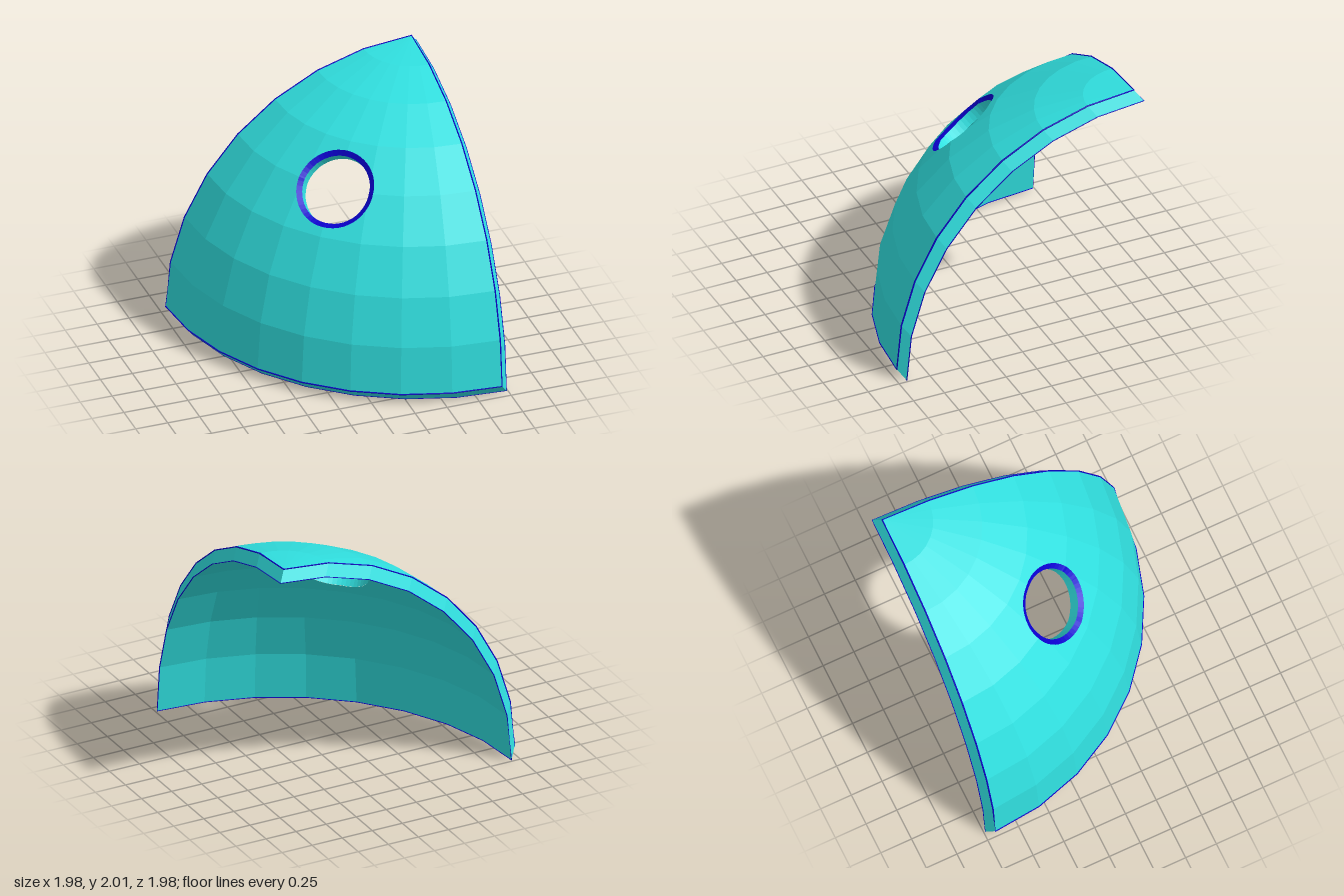
import * as THREE from 'three';

const R = 1.92, THICK = 0.11, SEG = 8;          // shell radius, wall thickness, facets per quarter turn
const HOLE_SIDES = 48, BORE = 0.26, BEVEL = 0.04, BEVEL_DEPTH = 0.02;
const AXIS = new THREE.Vector3(-0.5, Math.SQRT1_2, 0.5);  // middle direction of the shell, also the hole axis
const U = new THREE.Vector3(Math.SQRT1_2, 0, Math.SQRT1_2);
const V = AXIS.clone().cross(U);
const INNER = new THREE.Vector3(0.988, 0, -0.988);
const OUTER = INNER.clone().addScaledVector(AXIS, THICK);

// Facet corner on a sphere octant: i runs around, j runs up to the pole
function corner(centre, i, j) {
  const lon = (i / SEG) * Math.PI / 2, lat = (j / SEG) * Math.PI / 2;
  return new THREE.Vector3(-Math.cos(lat) * Math.cos(lon), Math.sin(lat), Math.cos(lat) * Math.sin(lon))
    .multiplyScalar(R).add(centre);
}

const around = (angle) => U.clone().multiplyScalar(Math.cos(angle)).addScaledVector(V, Math.sin(angle));

// Keep the part of a convex polygon on the positive side of a plane
function clip(poly, plane) {
  const out = [];
  poly.forEach((p, k) => {
    const q = poly[(k + 1) % poly.length];
    const a = plane.distanceToPoint(p), b = plane.distanceToPoint(q);
    if (a >= 0) out.push(p);
    if ((a > 0 && b < 0) || (a < 0 && b > 0)) out.push(p.clone().lerp(q, a / (a - b)));
  });
  return out;
}

// Facetted octant with a round hole; also returns the edges along the hole
function octant(centre, radius) {
  const polys = [], rim = [];
  for (let j = 0; j < SEG; j++) for (let i = 0; i < SEG; i++) {
    const cell = [corner(centre, i, j), corner(centre, i + 1, j), corner(centre, i + 1, j + 1)];
    if (j < SEG - 1) cell.push(corner(centre, i, j + 1));
    if (i < 2 || i > 5 || j < 3 || j > 4) { polys.push(cell); continue; }
    // Cells by the hole are cut into wedges that stop at its edge
    for (let k = 0; k < HOLE_SIDES; k++) {
      const step = 2 * Math.PI / HOLE_SIDES, a = k * step;
      const plane = (n, p) => new THREE.Plane().setFromNormalAndCoplanarPoint(n, p);
      const edge = plane(around(a + step / 2), centre.clone().addScaledVector(around(a), radius));
      let piece = clip(cell, plane(around(a + Math.PI / 2), centre));
      piece = clip(piece, plane(around(a + step - Math.PI / 2), centre));
      piece = clip(piece, edge);
      if (piece.length < 3) continue;
      polys.push(piece);
      piece.forEach((p, m) => {
        const q = piece[(m + 1) % piece.length];
        const onEdge = (x) => Math.abs(edge.distanceToPoint(x)) < 1e-6;
        if (onEdge(p) && onEdge(q) && p.distanceTo(q) > 1e-5) rim.push([p, q]);
      });
    }
  }
  return { polys, rim };
}

// Flat-shaded geometry from convex polygons
function facets(polys) {
  const pts = [];
  for (const p of polys)
    for (let k = 1; k < p.length - 1; k++) pts.push(p[0], p[k], p[k + 1]);
  const g = new THREE.BufferGeometry().setFromPoints(pts);
  g.computeVertexNormals();
  return g;
}

// The three border arcs as one closed loop
function border(centre) {
  const loop = [];
  for (let i = 0; i < SEG; i++) loop.push(corner(centre, i, 0));
  for (let j = 0; j < SEG; j++) loop.push(corner(centre, SEG, j));
  for (let j = SEG; j > 0; j--) loop.push(corner(centre, 0, j));
  return loop;
}

// Thin trim following a border loop
function trim(loop, radius) {
  const path = new THREE.CurvePath();
  loop.forEach((p, k) => path.add(new THREE.LineCurve3(p, loop[(k + 1) % loop.length])));
  path.arcLengthDivisions = loop.length * 10;
  return new THREE.TubeGeometry(path, loop.length, radius, 4, true);
}

export function createModel() {
  const teal = new THREE.MeshStandardMaterial({ color: 0x30e0e0 });
  teal.name = 'turquoise';
  const blue = new THREE.MeshStandardMaterial({ color: 0x0a00d0 });
  blue.name = 'deepBlue';

  const group = new THREE.Group();
  group.name = 'shellSegment';
  const add = (name, geometry, material) => {
    const mesh = new THREE.Mesh(geometry, material);
    mesh.name = name;
    group.add(mesh);
  };

  // Outer and inner skins
  const outer = octant(OUTER, BORE + BEVEL);
  const inner = octant(INNER, BORE);
  add('outerSkin', facets(outer.polys), teal);
  add('innerSkin', facets(inner.polys.map((p) => p.slice().reverse())), teal);

  // Border faces joining the skins
  const outerLoop = border(OUTER), innerLoop = border(INNER);
  add('borderFaces', facets(outerLoop.map((a, k) => {
    const n = (k + 1) % outerLoop.length;
    return [outerLoop[n], a, innerLoop[k], innerLoop[n]];
  })), teal);

  // Bevelled hole edge and the bore behind it
  const bevelFoot = (p) => {
    const d = p.clone().sub(OUTER);
    const radial = d.addScaledVector(AXIS, -d.dot(AXIS));
    return p.clone().addScaledVector(radial, -BEVEL / (BORE + BEVEL)).addScaledVector(AXIS, -BEVEL_DEPTH);
  };
  const boreFoot = (p) => bevelFoot(p).addScaledVector(AXIS, BEVEL_DEPTH + 0.006 - THICK);
  add('holeBevel', facets(outer.rim.map(([p, q]) => [q, p, bevelFoot(p), bevelFoot(q)])), blue);
  add('holeBore', facets(outer.rim.map(([p, q]) => [bevelFoot(q), bevelFoot(p), boreFoot(p), boreFoot(q)])), teal);

  // Narrow trims on the border edges
  add('outerTrim', trim(outerLoop, 0.006), blue);
  add('innerTrim', trim(innerLoop, 0.004), blue);

  return group;
}
